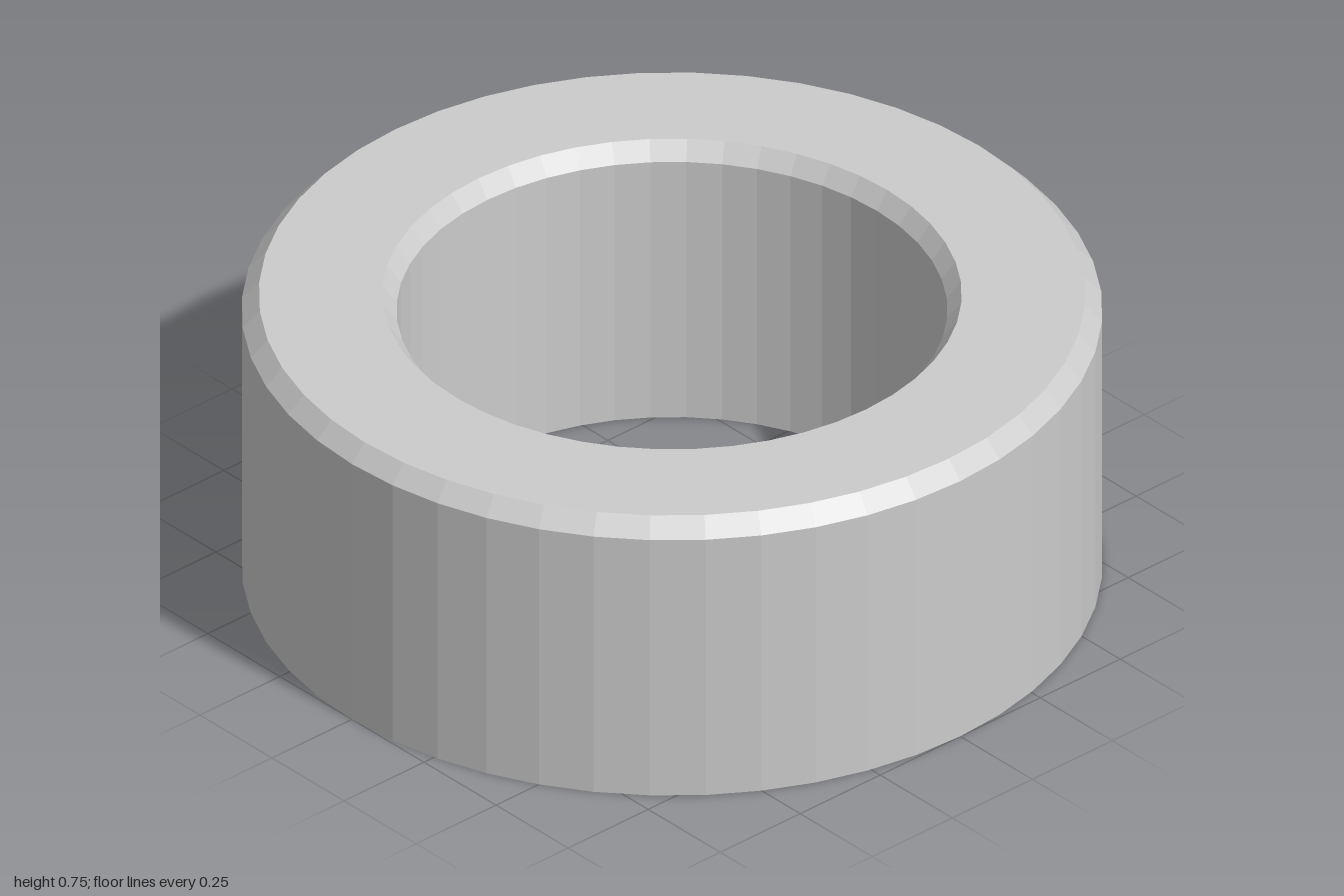
import * as THREE from 'three';

const SIDES = 48;
const HEIGHT = 0.745;
const SHOULDER = 0.702; // height where both chamfers begin

export function createModel() {
  const model = new THREE.Group();
  model.name = 'hollowRing';

  const material = new THREE.MeshStandardMaterial({
    color: 0xcccccc,
    flatShading: true,
    side: THREE.DoubleSide,
  });

  // Each band is a straight [radius, height] profile line turned about y.
  const addBand = (name, from, to) => {
    const profile = [from, to].map(([r, y]) => new THREE.Vector2(r, y));
    const mesh = new THREE.Mesh(new THREE.LatheGeometry(profile, SIDES), material);
    mesh.name = name;
    model.add(mesh);
  };

  // Thin shell, open underneath: up the outside, over the top, down the bore
  addBand('outerWall', [1, 0], [1, SHOULDER]);
  addBand('outerChamfer', [1, SHOULDER], [0.96, HEIGHT]);
  addBand('topFace', [0.96, HEIGHT], [0.673, HEIGHT]);
  addBand('innerChamfer', [0.673, HEIGHT], [0.64, SHOULDER]);
  addBand('innerWall', [0.64, SHOULDER], [0.64, 0]);

  return model;
}
